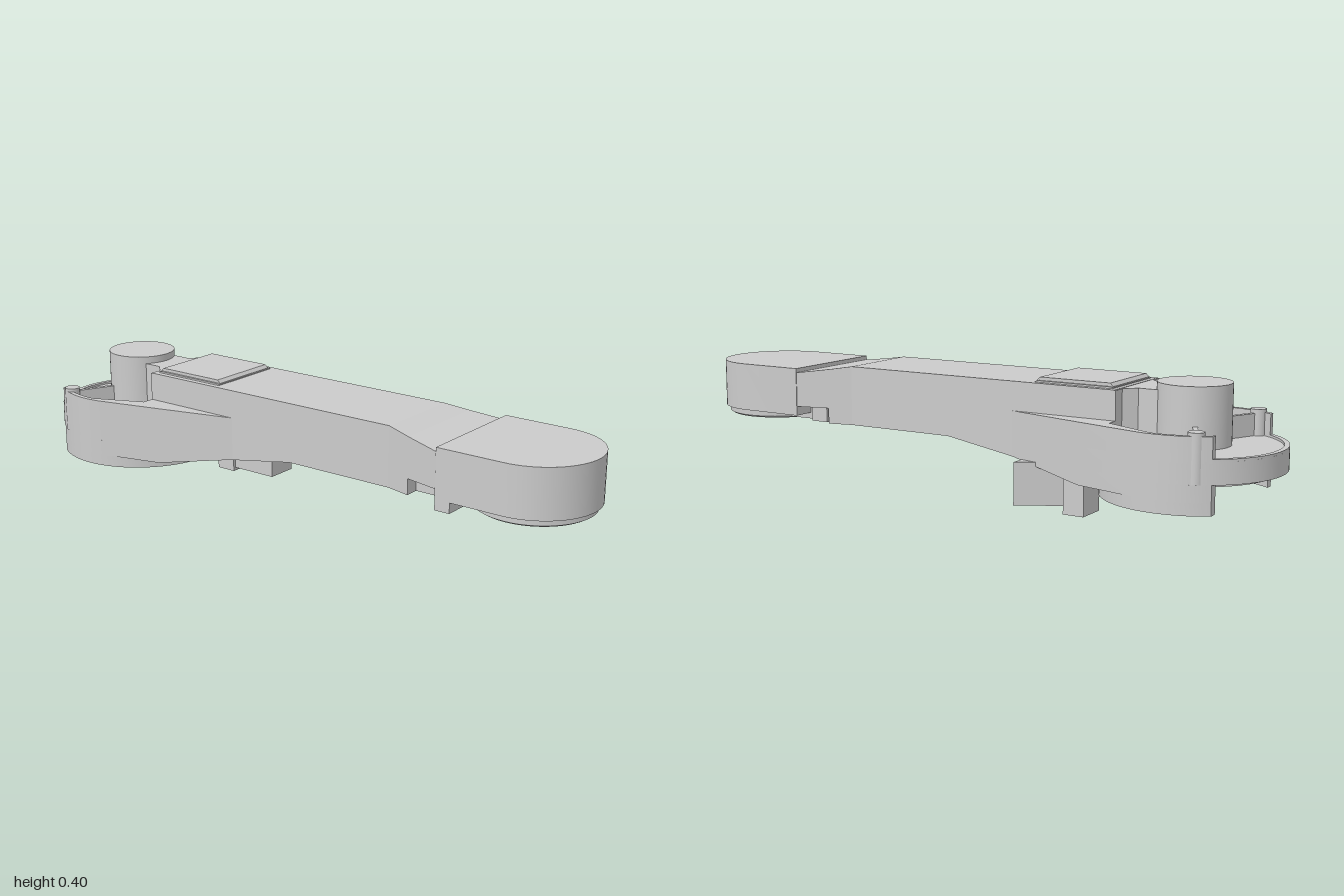
import * as THREE from 'three';
import { toCreasedNormals } from 'three/addons/utils/BufferGeometryUtils.js';

const material = new THREE.MeshStandardMaterial({ color: 0xcccccc });
const HUB = -0.726;   // z of the housing centre
const HEAD = 0.806;   // z of the rounded head centre
const R = 0.274;      // outer radius of the housing
const CUT = -0.88;    // the housing skirt is open behind this z

// Points on an arc seen from above, angle measured from +z towards +x
function arc(r, a0, a1, n = 20, cz = HUB) {
  return Array.from({ length: n + 1 }, (_, i) => {
    const a = a0 + ((a1 - a0) * i) / n;
    return [r * Math.sin(a), cz + r * Math.cos(a)];
  });
}

// Plan outline of [x, z] points raised from y0 to y1
function slab(points, y0, y1) {
  const shape = new THREE.Shape(points.map(([x, z]) => new THREE.Vector2(x, -z)));
  const geo = new THREE.ExtrudeGeometry(shape, { depth: y1 - y0, bevelEnabled: false });
  geo.rotateX(-Math.PI / 2).translate(0, y0, 0);
  return toCreasedNormals(geo, 0.5);
}

// Rectangular sections [z, halfWidth, bottom, top], ordered front to back
function loft(sections) {
  const pos = [];
  const index = [];
  for (const [z, w, b, t] of sections) pos.push(-w, b, z, w, b, z, w, t, z, -w, t, z);
  const last = (sections.length - 1) * 4;
  for (let s = 0; s < last; s += 4) {
    for (let i = 0; i < 4; i++) {
      const j = (i + 1) % 4;
      index.push(s + i, s + 4 + i, s + 4 + j, s + i, s + 4 + j, s + j);
    }
  }
  index.push(0, 1, 2, 0, 2, 3, last, last + 2, last + 1, last, last + 3, last + 2);
  const geo = new THREE.BufferGeometry();
  geo.setAttribute('position', new THREE.Float32BufferAttribute(pos, 3));
  geo.setIndex(index);
  const flat = geo.toNonIndexed();
  flat.computeVertexNormals();
  return flat;
}

// Box from its limits
function box(x0, x1, y0, y1, z0, z1) {
  return new THREE.BoxGeometry(x1 - x0, y1 - y0, z1 - z0)
    .translate((x0 + x1) / 2, (y0 + y1) / 2, (z0 + z1) / 2);
}

function post(r, y0, y1, x, z, sides = 40) {
  return new THREE.CylinderGeometry(r, r, y1 - y0, sides).translate(x, (y0 + y1) / 2, z);
}

// Turned ring from a closed [radius, y] profile
function turned(profile, z) {
  const points = profile.map(([r, y]) => new THREE.Vector2(r, y));
  return toCreasedNormals(new THREE.LatheGeometry(points, 48).translate(0, 0, z), 0.5);
}

export function createModel() {
  const model = new THREE.Group();
  model.name = 'armLink';
  const add = (name, geo) => {
    const mesh = new THREE.Mesh(geo, material);
    mesh.name = name;
    model.add(mesh);
    return mesh;
  };

  // Arm: flat beam whose underside slopes down to the housing
  add('arm', loft([
    [0.48, 0.166, 0.185, 0.362],
    [0.4, 0.147, 0.185, 0.375],
    [0.03, 0.147, 0.185, 0.375],
    [-0.46, 0.147, 0.101, 0.375],
    [-0.465, 0.147, 0.16, 0.375],
    [-0.54, 0.147, 0.16, 0.375],
  ]));
  add('armTaper', loft([[0.6, 0.193, 0.235, 0.345], [0.48, 0.166, 0.235, 0.362]]));
  add('armTaperCore', box(-0.12, 0.12, 0.185, 0.24, 0.47, 0.68));

  // Raised cover with sloped edges on top of the arm
  add('cover', loft([
    [-0.268, 0.128, 0.37, 0.378],
    [-0.278, 0.128, 0.37, 0.38],
    [-0.515, 0.128, 0.37, 0.38],
    [-0.525, 0.128, 0.37, 0.378],
  ]));
  add('coverTop', loft([
    [-0.27, 0.12, 0.375, 0.38],
    [-0.28, 0.12, 0.375, 0.39],
    [-0.514, 0.12, 0.375, 0.39],
    [-0.523, 0.12, 0.375, 0.38],
  ]));

  // Rounded head with a bearing ring below
  const headOutline = [[-0.193, 0.59], ...arc(0.193, -Math.PI / 2, Math.PI / 2, 32, HEAD), [0.193, 0.59]];
  add('head', slab(headOutline, 0.205, 0.36));
  add('headRing', turned([
    [0.085, 0.21], [0.085, 0.18], [0.17, 0.18], [0.18, 0.186], [0.18, 0.21],
  ], HEAD));
  add('headRingFloor', post(0.087, 0.192, 0.21, 0, HEAD));

  // Clips under the head
  add('clip', box(-0.193, -0.11, 0.172, 0.205, 0.59, 0.64));
  add('clipStem', box(-0.193, -0.11, 0.172, 0.24, 0.59, 0.61));
  add('smallClip', box(0.11, 0.163, 0.188, 0.235, 0.49, 0.55));

  // Flare from the arm to the housing
  const tangent = 1.315;
  const flareW = 0.215;
  const flareZ = -0.46;
  add('flare', loft([[-0.2, 0.147, 0.146, 0.285], [flareZ, flareW, 0.1, 0.285]]));

  // Housing floor
  add('housingFloor', slab([
    [flareW, flareZ], ...arc(R, tangent, 2 * Math.PI - tangent, 60), [-flareW, flareZ],
  ], 0.15, 0.215));
  add('housingLip', turned([
    [0.258, 0.15], [R, 0.15], [R, 0.222], [0.258, 0.222], [0.258, 0.15],
  ], HUB));

  // Walls above and below the floor, open at the back
  const cutAngle = (r) => Math.acos((CUT - HUB) / r);
  const outer = cutAngle(R);
  const outside = [
    ...arc(R, outer, tangent), [flareW, flareZ],
    [-flareW, flareZ], ...arc(R, -tangent, -outer),
  ];
  const trayR = 0.258;
  const trayCut = cutAngle(trayR);
  add('trayWall', slab([
    ...outside,
    ...arc(trayR, -trayCut, -1.5), [-0.185, -0.545],
    [0.185, -0.545], ...arc(trayR, 1.5, trayCut),
  ], 0.21, 0.285));
  const skirtR = 0.252;
  const skirtCut = cutAngle(skirtR);
  const inside = arc(skirtR, -skirtCut, skirtCut, 50);
  add('skirtUpper', slab([...outside, ...inside], 0.1, 0.15));
  add('skirtLower', slab([...arc(R, outer, -outer, 50), ...inside], 0.063, 0.1));
  add('undersideRing', turned([
    [0.222, 0.155], [0.222, 0.138], [0.24, 0.138], [0.24, 0.155],
  ], HUB));

  // Central shaft and the neck that ties it to the arm
  add('shaft', post(0.11, 0.2, 0.397, 0, HUB, 48));
  add('neck', slab([
    [-0.147, -0.53], [-0.147, -0.545], [-0.105, -0.545], [-0.07, -0.58], [-0.07, -0.66],
    [0.07, -0.66], [0.07, -0.58], [0.105, -0.545], [0.147, -0.545], [0.147, -0.53],
  ], 0.2, 0.374));

  // Posts on the tray wall, each braced to the shaft by a rib
  for (const side of [-1, 1]) {
    const x = 0.23 * side;
    const z = -0.833;
    add('post', post(0.024, 0.15, 0.295, x, z, 24));
    const rib = add('rib', new THREE.BoxGeometry(Math.hypot(x, z - HUB), 0.075, 0.015));
    rib.position.set(x / 2, 0.245, (z + HUB) / 2);
    rib.rotation.y = -Math.atan2(z - HUB, x);
  }

  // Hook under one side of the flare
  add('hookWedge', slab([[0.1, -0.24], [0.205, -0.24], [0.113, -0.4], [0.1, -0.4]], 0.01, 0.142));
  add('hookFoot', box(0.09, 0.19, 0, 0.13, -0.468, -0.4));

  return model;
}
